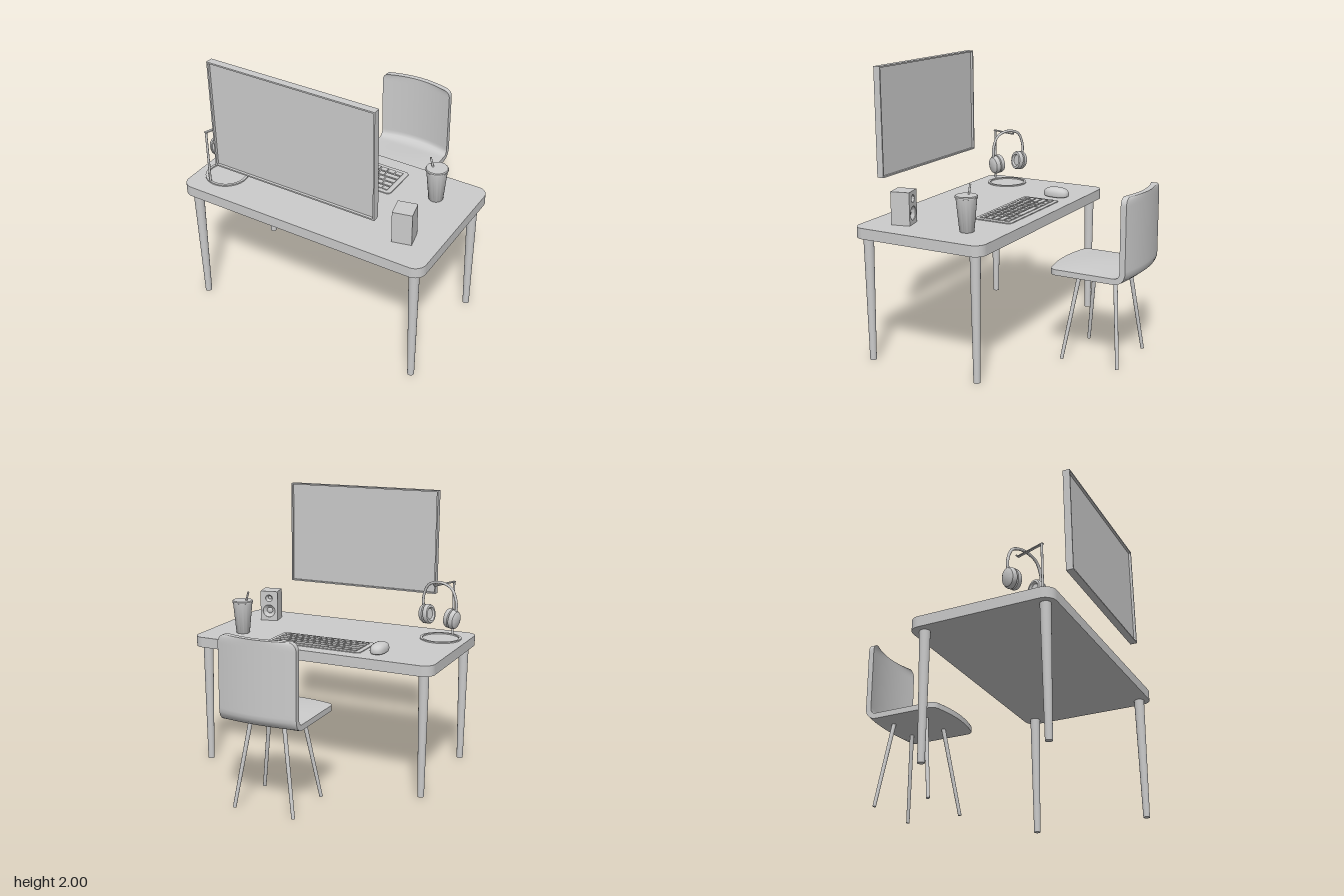
import * as THREE from 'three';
import { toCreasedNormals } from 'three/addons/utils/BufferGeometryUtils.js';
import { RoundedBoxGeometry } from 'three/addons/geometries/RoundedBoxGeometry.js';

const grey = new THREE.MeshStandardMaterial({ color: 0xcccccc });
const V = (x, y, z) => new THREE.Vector3(x, y, z);
const V2 = (x, y) => new THREE.Vector2(x, y);

function add(parent, name, geometry, x = 0, y = 0, z = 0) {
  const mesh = new THREE.Mesh(geometry, grey);
  mesh.name = name;
  mesh.position.set(x, y, z);
  parent.add(mesh);
  return mesh;
}

function addGroup(parent, name, x = 0, y = 0, z = 0) {
  const group = new THREE.Group();
  group.name = name;
  group.position.set(x, y, z);
  parent.add(group);
  return group;
}

// Horizontal rounded rectangle standing on y = 0
function slab(w, d, r, h) {
  const s = new THREE.Shape();
  const a = w / 2 - r, b = d / 2 - r;
  s.absarc(a, b, r, 0, Math.PI / 2);
  s.absarc(-a, b, r, Math.PI / 2, Math.PI);
  s.absarc(-a, -b, r, Math.PI, Math.PI * 1.5);
  s.absarc(a, -b, r, Math.PI * 1.5, Math.PI * 2);
  const g = new THREE.ExtrudeGeometry(s, { depth: h, bevelEnabled: false, curveSegments: 10 });
  return toCreasedNormals(g.rotateX(-Math.PI / 2), 0.6);
}

// Tapered round rod between two points
function rod(from, to, r0, r1, sides = 16) {
  const dir = to.clone().sub(from);
  const g = new THREE.CylinderGeometry(r1, r0, dir.length(), sides);
  g.applyQuaternion(new THREE.Quaternion().setFromUnitVectors(V(0, 1, 0), dir.clone().normalize()));
  const mid = from.clone().add(to).multiplyScalar(0.5);
  return g.translate(mid.x, mid.y, mid.z);
}

const lathe = (pts, sides = 32) =>
  toCreasedNormals(new THREE.LatheGeometry(pts.map(p => V2(...p)), sides), 0.6);

function buildDesk(root) {
  const desk = addGroup(root, 'desk');
  add(desk, 'deskTop', slab(1.85, 1, 0.08, 0.075), 0, 0.885, 0.365);
  for (const x of [-0.845, 0.845]) for (const z of [-0.05, 0.79])
    add(desk, 'deskLeg', rod(V(x, 0, z), V(x, 0.885, z), 0.023, 0.036, 24));
}

// Seat and backrest are one sheet bent along an L-shaped path
function buildChair(root) {
  const chair = addGroup(root, 'chair', -0.007);
  const half = 0.283, seat = 0.483, R = 0.06, back = 0.515, corner = 0.055, thick = 0.04;
  const bend = R * Math.PI / 2, L = seat + bend + back;
  const g = new THREE.BoxGeometry(1, thick, 1, 16, 1, 72);
  const p = g.attributes.position;
  for (let i = 0; i < p.count; i++) {
    const s = L * (0.5 - 0.5 * Math.cos(Math.PI * (p.getZ(i) + 0.5)));
    const u = p.getX(i) * 2, n = p.getY(i), bow = 1 - u * u;
    const c = Math.max(0, corner - Math.min(s, L - s));
    const w = half - corner + Math.sqrt(corner * corner - c * c);
    const a = THREE.MathUtils.clamp((s - seat) / R, 0, Math.PI / 2);
    const flat = Math.min(s, seat), up = Math.max(0, s - seat - bend);
    const front = 1 - flat / seat;
    let z = -0.28 - flat - R * Math.sin(a) + n * Math.sin(a);
    let y = 0.64 + R * (1 - Math.cos(a)) + up + n * Math.cos(a);
    z += bow * (0.03 * front - 0.04 * Math.sin(a));
    if (n > 0) y += 0.015 * bow * Math.sin(Math.PI * flat / seat);
    p.setXYZ(i, u * w, y, z);
  }
  // The path runs towards -z, so the triangles are turned over
  const idx = g.index.array;
  for (let i = 0; i < idx.length; i += 3) [idx[i], idx[i + 1]] = [idx[i + 1], idx[i]];
  g.computeVertexNormals();
  add(chair, 'chairShell', g);
  for (const s of [-1, 1]) {
    add(chair, 'chairFrontLeg', rod(V(s * 0.222, 0, -0.355), V(s * 0.122, 0.63, -0.445), 0.012, 0.015));
    add(chair, 'chairBackLeg', rod(V(s * 0.222, 0, -0.775), V(s * 0.122, 0.63, -0.705), 0.012, 0.015));
  }
}

function buildMonitor(root) {
  const m = addGroup(root, 'monitor', 0.005, 1.617, 0.855);
  const w = 1.2, h = 0.766, t = 0.01, d = 0.05;
  for (const s of [-1, 1]) {
    add(m, 'bezelSide', new THREE.BoxGeometry(t, h, d), s * (w - t) / 2, 0, 0);
    add(m, 'bezelBar', new THREE.BoxGeometry(w - 2 * t, t, d), 0, s * (h - t) / 2, 0);
  }
  add(m, 'screen', new THREE.BoxGeometry(w - 2 * t, h - 2 * t, 0.014));
}

function buildKeyboard(root) {
  const k = addGroup(root, 'keyboard', 0, 0.96, 0.11);
  add(k, 'keyboardBase', slab(0.73, 0.29, 0.03, 0.006));
  // Each row lists its key widths, filled out to the full row length
  const rows = [
    Array(14).fill(1), [1.5, ...Array(11).fill(1), 1.5], [1.8, ...Array(10).fill(1), 2.2],
    [2.3, ...Array(9).fill(1), 2.7], [1.2, 1.2, 1.2, 5.5, 1.2, 1.2, 1.2, 1.3],
  ];
  rows.forEach((row, r) => {
    const unit = 0.67 / row.reduce((a, b) => a + b);
    let x = 0.335;
    for (const n of row) {
      const w = n * unit;
      add(k, 'key', new THREE.BoxGeometry(w - 0.01, 0.007, 0.037), x - w / 2, 0.0085, 0.096 - r * 0.048);
      x -= w;
    }
  });
}

function buildMouse(root) {
  const g = new THREE.SphereGeometry(1, 32, 20);
  const p = g.attributes.position;
  const soft = (v, e) => Math.sign(v) * Math.abs(v) ** e;
  for (let i = 0; i < p.count; i++) {
    const x = p.getX(i), y = p.getY(i), z = p.getZ(i);
    p.setXYZ(i, 0.055 * soft(x, 0.8), y > 0 ? 0.025 + 0.05 * soft(y, 0.8) : 0.025 + 0.025 * soft(y, 0.5), 0.098 * soft(z, 0.8));
  }
  g.computeVertexNormals();
  add(root, 'mouse', g, -0.48, 0.96, 0.048);
}

function buildCup(root) {
  const cup = addGroup(root, 'drinkCup', 0.652, 0.96, 0.13);
  add(cup, 'cupBody', lathe([[0, 0], [0.047, 0], [0.05, 0.004], [0.072, 0.232], [0, 0.232]]));
  add(cup, 'cupLid', lathe([[0.07, 0.228], [0.077, 0.23], [0.077, 0.24], [0.072, 0.246], [0, 0.246]]));
  add(cup, 'straw', rod(V(-0.028, 0.235, 0), V(-0.05, 0.312, 0), 0.007, 0.007, 12));
}

function buildSpeaker(root) {
  const sp = addGroup(root, 'speaker', 0.676, 0.96, 0.614);
  sp.rotation.y = Math.PI + 0.227;
  const w = 0.134, h = 0.23, drivers = [[0.075, 0.048], [0.175, 0.027]];
  add(sp, 'speakerBox', new THREE.BoxGeometry(w, h, 0.104), 0, h / 2, -0.015);
  const face = new THREE.Shape([V2(-w / 2, 0), V2(w / 2, 0), V2(w / 2, h), V2(-w / 2, h)]);
  for (const [y, r] of drivers) {
    face.holes.push(new THREE.Path().absarc(0, y, r, 0, Math.PI * 2, true));
    const dome = new THREE.SphereGeometry(r * 0.5, 20, 10).scale(1, 1, 0.5);
    add(sp, 'speakerDome', dome, 0, y, 0.037);
    const cone = lathe([[r * 0.4, 0], [r, 0.024]]);
    add(sp, 'speakerCone', cone.rotateX(Math.PI / 2), 0, y, 0.038).material =
      new THREE.MeshStandardMaterial({ color: 0xcccccc, side: THREE.DoubleSide });
  }
  const g = new THREE.ExtrudeGeometry(face, { depth: 0.03, bevelEnabled: false, curveSegments: 24 });
  add(sp, 'speakerFace', toCreasedNormals(g, 0.6), 0, 0, 0.037);
}

function buildHeadphones(root) {
  const stand = addGroup(root, 'headphoneStand');
  const ring = lathe([[0.132, 0], [0.15, 0], [0.15, 0.009], [0.132, 0.009], [0.132, 0]], 48);
  add(stand, 'standRing', ring, -0.725, 0.96, 0.61);
  add(stand, 'standPole', rod(V(-0.77, 0.96, 0.742), V(-0.77, 1.362, 0.742), 0.008, 0.008));
  // Flat hook with a raised tip, leaning out from the pole
  const hook = addGroup(stand, 'standHook', -0.772, 1.36, 0.752);
  hook.rotation.y = Math.atan2(0.082, -0.222);
  add(hook, 'hookArm', new RoundedBoxGeometry(0.02, 0.01, 0.23, 2, 0.004), 0, 0, 0.115);
  add(hook, 'hookTip', new RoundedBoxGeometry(0.02, 0.01, 0.03, 2, 0.004), 0, 0.006, 0.226).rotation.x = -0.6;

  const hp = addGroup(root, 'headphones', -0.715, 0, 0.595);
  hp.rotation.y = -0.34;
  const side = [[0.135, 1.15], [0.151, 1.2], [0.146, 1.27], [0.105, 1.345]];
  const path = [...side.map(([x, y]) => V(-x, y, 0)), V(0, 1.376, 0), ...side.reverse().map(([x, y]) => V(x, y, 0))];
  add(hp, 'headband', new THREE.TubeGeometry(new THREE.CatmullRomCurve3(path), 48, 0.01, 10));
  const profile = [[0, -0.03], [0.04, -0.03], [0.05, -0.044], [0.066, -0.042], [0.072, -0.03], [0.071, -0.008],
    [0.058, -0.004], [0.058, 0.002], [0.072, 0.004], [0.071, 0.02], [0.062, 0.036], [0.045, 0.044], [0, 0.046]];
  for (const turn of [0, Math.PI]) {
    const arm = addGroup(hp, 'earSide', 0, 1.127, 0);
    arm.rotation.y = turn;
    const cup = lathe(profile).rotateZ(-Math.PI / 2).scale(1, 1, 0.78);
    add(arm, 'earCup', cup, 0.119, 0, 0).rotation.z = -0.12;
  }
}

export function createModel() {
  const root = new THREE.Group();
  root.name = 'deskSetup';
  [buildDesk, buildChair, buildMonitor, buildKeyboard, buildMouse, buildCup, buildSpeaker, buildHeadphones]
    .forEach(build => build(root));
  return root;
}
